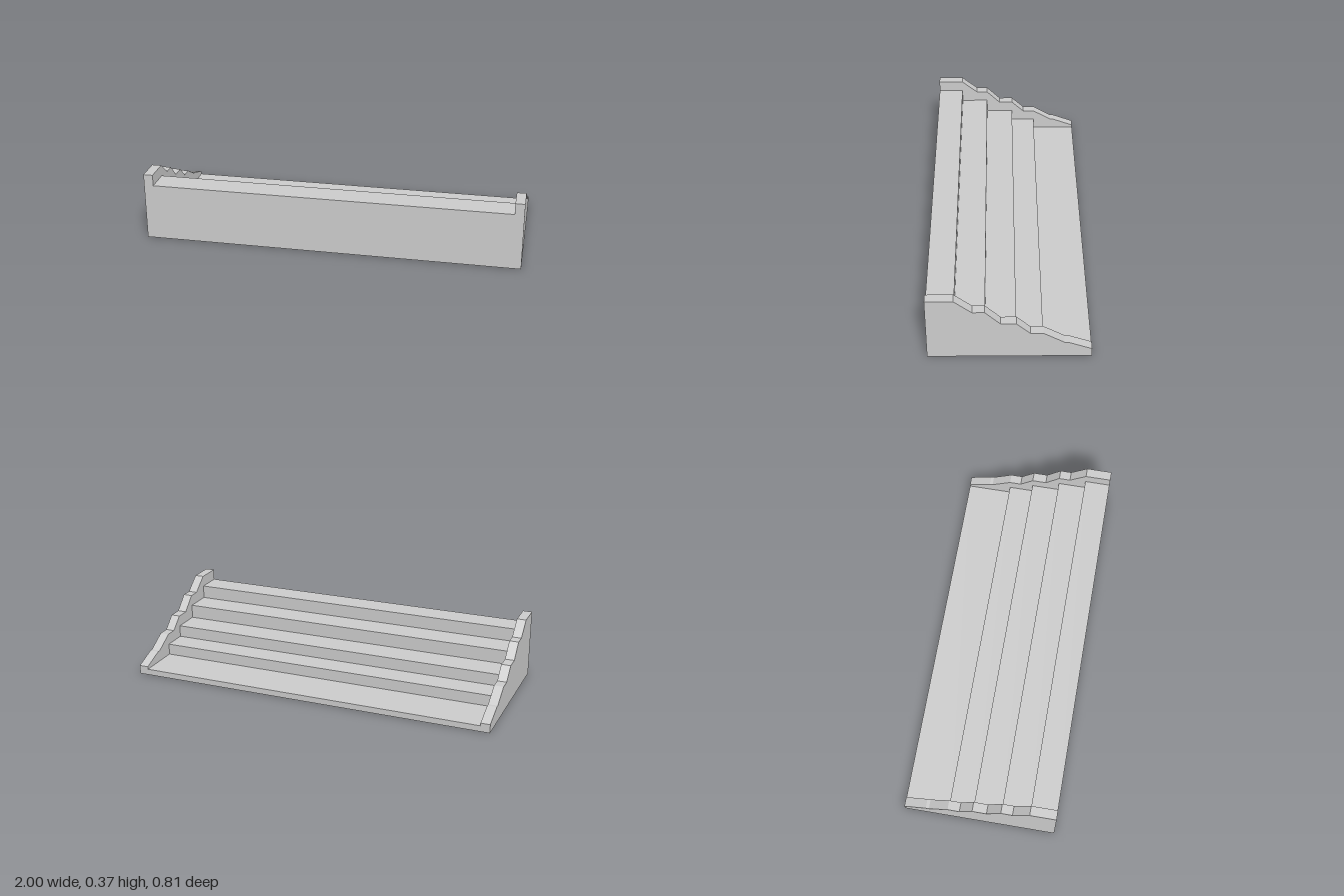
import * as THREE from 'three';

const material = new THREE.MeshStandardMaterial({ color: 0xcccccc, flatShading: true });
const FRONT = 0.406, BACK = -0.406, CHEEK = 0.05;

// Extrude a [z, y] side profile along x, centred on the given x.
function slab(name, profile, width, x) {
  const shape = new THREE.Shape(profile.map(([z, y]) => new THREE.Vector2(-z, y)));
  const geometry = new THREE.ExtrudeGeometry(shape, { depth: width, bevelEnabled: false });
  geometry.translate(0, 0, -width / 2);
  geometry.rotateY(Math.PI / 2); // profile (-z) and depth become z and x
  const mesh = new THREE.Mesh(geometry, material);
  mesh.name = name;
  mesh.position.x = x;
  return mesh;
}

export function createModel() {
  const group = new THREE.Group();
  group.name = 'staircase';

  // Steps: tread heights from top to bottom, and the riser below each tread
  const treads = [0.305, 0.233, 0.158, 0.093, 0.032];
  const risers = [0.268, 0.119, -0.033, -0.166, BACK];
  const steps = [[FRONT, 0], [FRONT, treads[0]]];
  treads.forEach((y, i) => {
    steps.push([risers[i], y]);
    steps.push([risers[i], treads[i + 1] ?? 0]);
  });
  group.add(slab('steps', steps, 2 - 2 * CHEEK, 0));

  // Side walls whose tops follow the steps with sloped transitions
  const wall = [
    [FRONT, 0], [FRONT, 0.365], [0.268, 0.365], [0.18, 0.293], [0.119, 0.293],
    [0.043, 0.218], [-0.033, 0.218], [-0.103, 0.153], [-0.166, 0.153],
    [-0.27, 0.092], [-0.287, 0.092], [BACK, 0.047], [BACK, 0],
  ];
  for (const [name, side] of [['leftWall', 1], ['rightWall', -1]]) {
    group.add(slab(name, wall, CHEEK, side * (1 - CHEEK / 2)));
  }
  return group;
}
